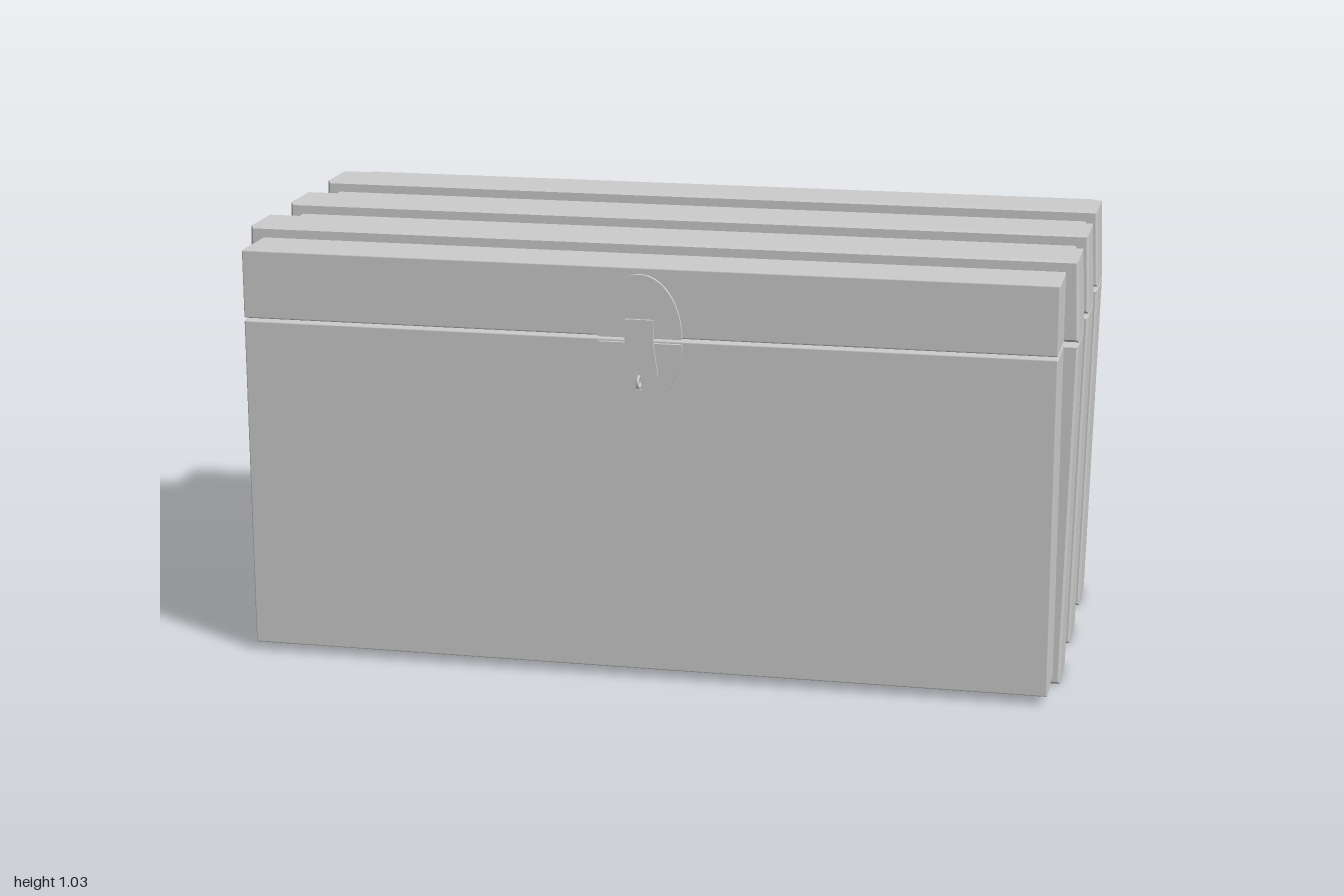
import * as THREE from 'three';
import { RoundedBoxGeometry } from 'three/addons/geometries/RoundedBoxGeometry.js';

const GAP_LOW = 0.829, GAP_HIGH = 0.835;
const BACK = -0.512, FRONT = 0.524;

export function createModel() {
  const chest = new THREE.Group();
  chest.name = 'chest';
  const grey = new THREE.MeshStandardMaterial({ color: 0xcccccc });

  const add = (name, geometry, x = 0, y = 0, z = 0) => {
    const mesh = new THREE.Mesh(geometry, grey);
    mesh.name = name;
    mesh.position.set(x, y, z);
    chest.add(mesh);
    return mesh;
  };

  // Extrudes an outline from z0 to z1 with a small bevel kept inside the outline
  const slab = (name, shape, z0, z1, bevel = 0) => {
    const geometry = new THREE.ExtrudeGeometry(shape, {
      depth: z1 - z0 - 2 * bevel, bevelEnabled: bevel > 0, bevelThickness: bevel,
      bevelSize: bevel, bevelOffset: -bevel, bevelSegments: 1, curveSegments: 16,
    });
    return add(name, geometry, 0, 0, z0 + bevel);
  };

  // Symmetric four-sided outline: half-widths at bottom and top
  const trapezoid = (bottomHalf, y0, topHalf, y1) => new THREE.Shape([
    new THREE.Vector2(-bottomHalf, y0), new THREE.Vector2(bottomHalf, y0),
    new THREE.Vector2(topHalf, y1), new THREE.Vector2(-topHalf, y1),
  ]);

  // Body and lid, separated by a thin seam
  const box = (name, y0, y1) => add(name,
    new RoundedBoxGeometry(1.93, y1 - y0, FRONT - BACK, 1, 0.004),
    0, (y0 + y1) / 2, (FRONT + BACK) / 2);
  box('body', 0.021, GAP_LOW);
  box('lid', GAP_HIGH, 1.0);

  // Three raised straps round the chest, flaring slightly towards the seam
  for (const z of [0.302, 0.006, -0.291]) {
    slab('bodyStrap', trapezoid(0.982, 0, 1, GAP_LOW), z - 0.073, z + 0.073, 0.006);
    slab('lidStrap', trapezoid(1, GAP_HIGH, 0.993, 1.027), z - 0.073, z + 0.073, 0.006);
  }

  // Hinge barrel along the back seam
  const hinge = add('hingeBarrel', new THREE.CylinderGeometry(0.042, 0.042, 0.845, 32),
    -0.042, 0.832, -0.516);
  hinge.rotation.z = Math.PI / 2;

  // Oval lock plate, split at the seam
  const halfOval = (y, start, end) => {
    const shape = new THREE.Shape();
    shape.absellipse(0, y, 0.1, 0.15, start, end, false, 0);
    return shape;
  };
  slab('lidLockPlate', halfOval(GAP_HIGH, 0, Math.PI), FRONT - 0.004, 0.533);
  slab('bodyLockPlate', halfOval(GAP_LOW - 0.006, Math.PI, 2 * Math.PI), FRONT - 0.004, 0.533);

  // Hasp: narrow strap widening to a round end with a slot
  const hasp = new THREE.Shape();
  hasp.moveTo(0.034, 0.88);
  hasp.lineTo(-0.034, 0.88);
  hasp.lineTo(-0.034, 0.82);
  hasp.lineTo(-0.044, 0.75);
  hasp.absarc(0, 0.75, 0.044, Math.PI, 2 * Math.PI, false);
  hasp.lineTo(0.034, 0.82);
  hasp.closePath();
  hasp.holes.push(new THREE.Path([
    new THREE.Vector2(-0.006, 0.713), new THREE.Vector2(-0.006, 0.755),
    new THREE.Vector2(0.006, 0.755), new THREE.Vector2(0.006, 0.713),
  ]));
  slab('hasp', hasp, 0.531, 0.54);

  // Staple ring through the hasp slot
  const staple = add('staple', new THREE.TorusGeometry(0.013, 0.004, 8, 24), 0, 0.732, 0.543);
  staple.rotation.y = Math.PI / 2;

  return chest;
}
